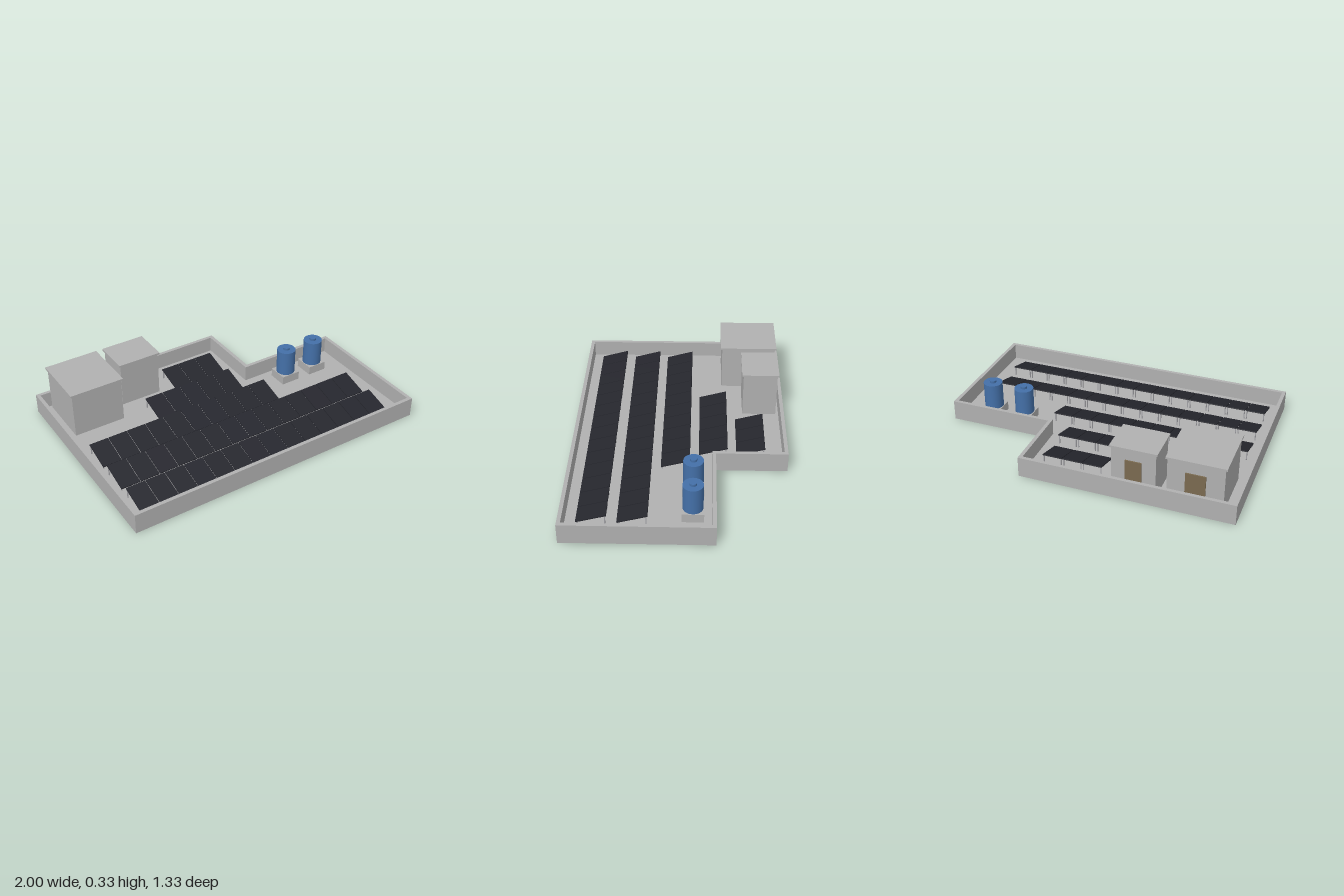
import * as THREE from 'three';

const material = (name, color) => Object.assign(new THREE.MeshStandardMaterial({ color }), { name });

export function createModel() {
  const model = new THREE.Group();
  model.name = 'solarRooftop';
  const concrete = material('concrete grey', 0xb0b0b0);
  const panelDark = material('panel black', 0x25262d);
  const tankBlue = material('tank blue', 0x4470a8);
  const doorBrown = material('door brown', 0x7a6a50);
  const metal = material('support grey', 0xa0a0a4);

  const FLOOR = 0.025, WALL = 0.023, RIM = 0.13;

  const add = (parent, name, geometry, mat, x, y, z) => {
    const mesh = new THREE.Mesh(geometry, mat);
    mesh.name = name;
    mesh.position.set(x, y, z);
    parent.add(mesh);
    return mesh;
  };
  // Box standing on height y
  const block = (parent, name, w, h, d, mat, x, y, z) =>
    add(parent, name, new THREE.BoxGeometry(w, h, d), mat, x, y + h / 2, z);
  const group = (name, x = 0, y = 0, z = 0) => {
    const g = new THREE.Group();
    g.name = name;
    g.position.set(x, y, z);
    model.add(g);
    return g;
  };

  // L-shaped roof outline, drawn inward by t (shape y is -z)
  const outline = (t) => [
    [-1 + t, -0.667 + t], [1 - t, -0.667 + t], [1 - t, 0.225 - t],
    [0.33 - t, 0.225 - t], [0.33 - t, 0.667 - t], [-1 + t, 0.667 - t],
  ].map(([x, y]) => new THREE.Vector2(x, y));
  const extrude = (shape, depth) =>
    new THREE.ExtrudeGeometry(shape, { depth, bevelEnabled: false }).rotateX(-Math.PI / 2);

  // Floor slab and parapet
  add(model, 'floorSlab', extrude(new THREE.Shape(outline(0)), FLOOR), concrete, 0, 0, 0);
  const ring = new THREE.Shape(outline(0));
  ring.holes.push(new THREE.Path(outline(WALL).reverse()));
  add(model, 'parapet', extrude(ring, RIM - FLOOR), concrete, 0, FLOOR, 0);

  // Stair rooms with overhanging roofs and rear doors
  for (const [x, z, w, d, doorW] of [[-0.7475, -0.448, 0.335, 0.355, 0.12], [-0.38, -0.515, 0.27, 0.22, 0.1]]) {
    const room = group('roofRoom', x, FLOOR, z);
    block(room, 'roomWalls', w, 0.295, d, concrete, 0, 0, 0);
    block(room, 'roomRoof', w + 0.02, 0.012, d + 0.02, concrete, 0, 0.295, 0);
    block(room, 'door', doorW, 0.225, 0.008, doorBrown, 0, 0, -d / 2 - 0.004);
  }

  // Water tanks on plinths
  for (const x of [0.555, 0.775]) {
    const tank = group('waterTank', x, FLOOR, -0.09);
    block(tank, 'plinth', 0.13, 0.057, 0.13, concrete, 0, 0, 0);
    add(tank, 'tankBody', new THREE.CylinderGeometry(0.061, 0.061, 0.168, 32), tankBlue, 0, 0.141, 0);
    add(tank, 'tankCap', new THREE.CylinderGeometry(0.021, 0.021, 0.015, 24), tankBlue, 0, 0.2325, 0);
  }

  // Rows of tilted solar panels: [centre z, first column, count]
  const PITCH = 0.128, TILT = 0.27;
  const panelGeometry = new THREE.BoxGeometry(0.123, 0.007, 0.183);
  const rows = [[0.49, 0, 14], [0.255, 0, 14], [0.023, 0, 10], [-0.21, 4, 5], [-0.443, 6, 3]];
  for (const [z, first, count] of rows) {
    const row = group('panelRow', 0, FLOOR, z);
    for (let i = first; i < first + count; i++) {
      const x = -0.856 + i * PITCH;
      add(row, 'solarPanel', panelGeometry, panelDark, x, 0.041, 0).rotation.x = TILT;
      // Short front and tall back legs
      for (const side of [-1, 1]) {
        block(row, 'frontLeg', 0.006, 0.016, 0.006, metal, x + side * 0.056, 0, 0.08);
        block(row, 'backLeg', 0.006, 0.06, 0.006, metal, x + side * 0.056, 0, -0.08);
      }
    }
  }
  return model;
}
